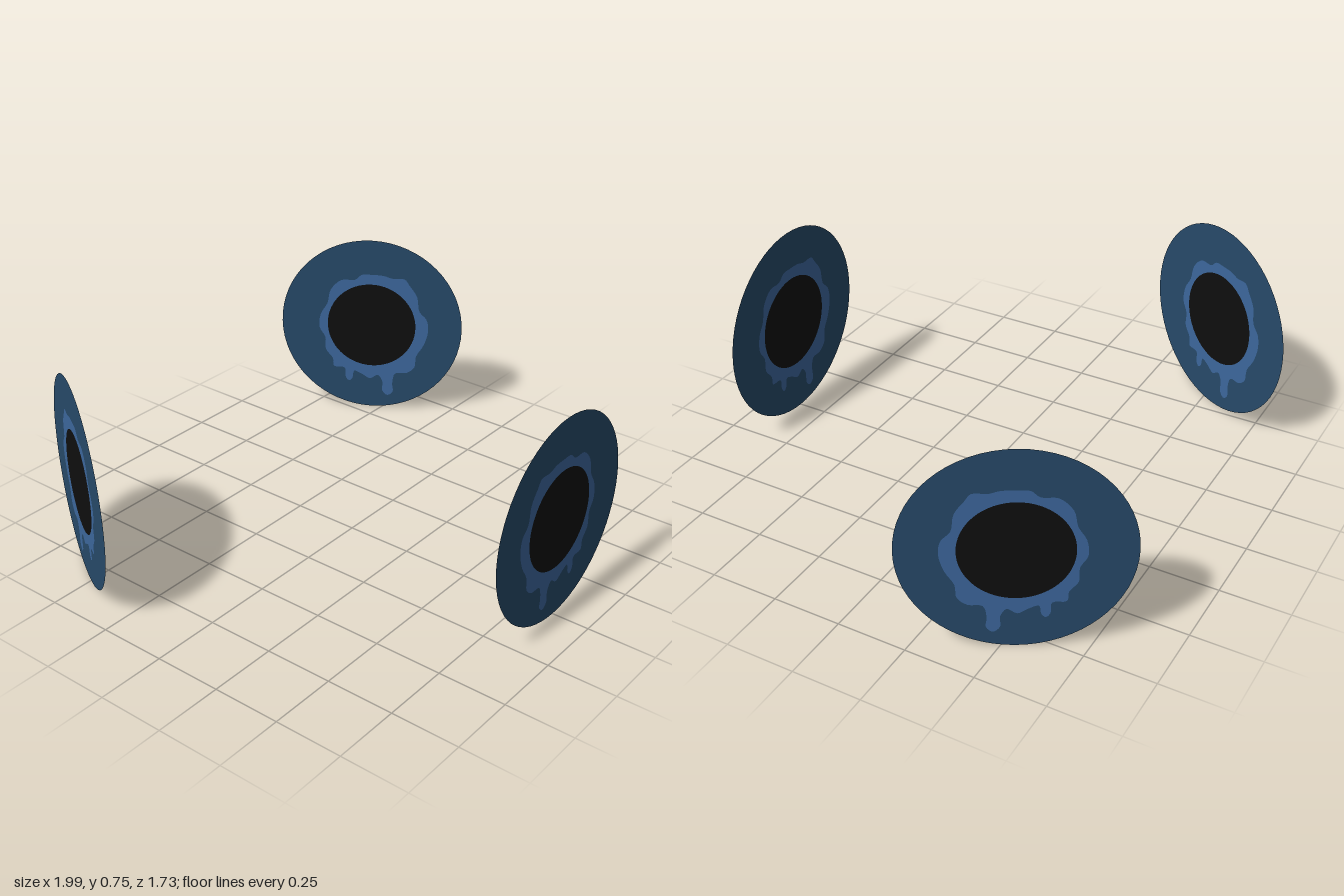
import * as THREE from 'three';

const RADIUS = 0.374;   // disc radius
const PUPIL = 0.183;    // pupil radius
const RING = 0.935;     // distance of each disc from the ring's axis
const RING_Z = -0.073;

// Outline of the dripping iris, in hundredths of a unit from the disc centre
const IRIS = [
  [0, 22.6], [4, 22.4], [7, 20], [12.5, 19.6], [17, 15], [18.4, 9], [21.2, 4], [21.8, -2],
  [19.4, -6.5], [19.2, -12], [16.3, -16], [15.8, -19.6], [11.2, -20.2], [10.8, -24.4],
  [9.4, -26], [8, -24.8], [7.2, -21.4], [4.2, -22.4], [0.5, -24.4], [-2.8, -22.6],
  [-4.8, -25.6], [-4.8, -29.8], [-7, -31.8], [-9.2, -30], [-9, -26], [-10.2, -21.4],
  [-15, -20.8], [-18.2, -18], [-18.8, -13], [-21.9, -7.5], [-23.6, -1], [-22.8, 4],
  [-19.8, 7.5], [-18.7, 14], [-15.5, 18.8], [-13.5, 21.4], [-8.5, 21.4], [-5, 22.4],
];

const circle = (r) => Array.from({ length: 64 }, (_, i) => {
  const a = (i / 64) * Math.PI * 2;
  return new THREE.Vector2(r * Math.cos(a), r * Math.sin(a));
});

// Flat plate with an optional hole
function plate(outline, hole) {
  const shape = new THREE.Shape(outline);
  if (hole) shape.holes.push(new THREE.Path(hole));
  return new THREE.ShapeGeometry(shape);
}

function material(name, color) {
  const m = new THREE.MeshStandardMaterial({ color, side: THREE.DoubleSide });
  m.name = name;
  return m;
}

export function createModel() {
  const model = new THREE.Group();
  model.name = 'eyeDiscRing';

  // Smooth closed iris outline, shared by the disc's hole and the iris
  const loop = new THREE.CatmullRomCurve3(
    IRIS.map(([x, y]) => new THREE.Vector3(x / 100, y / 100, 0)), true);
  const iris = loop.getPoints(152).slice(0, -1).map((p) => new THREE.Vector2(p.x, p.y));
  const pupil = circle(PUPIL);

  // The three colour areas fit together in one plane
  const parts = [
    ['outerDisc', plate(circle(RADIUS), iris), material('dark blue', 0x274a6a)],
    ['drippingIris', plate(iris, pupil), material('mid blue', 0x3d689e)],
    ['pupil', plate(pupil), material('black', 0x0f0f0f)],
  ];

  // Three upright discs facing outwards, a third of a turn apart
  ['frontEye', 'leftEye', 'rightEye'].forEach((name, i) => {
    const a = (i * Math.PI * 2) / 3;
    const eye = new THREE.Group();
    eye.name = name;
    for (const [partName, geometry, mat] of parts) {
      const mesh = new THREE.Mesh(geometry, mat);
      mesh.name = partName;
      eye.add(mesh);
    }
    eye.position.set(RING * Math.sin(a), RADIUS, RING_Z + RING * Math.cos(a));
    eye.rotation.y = a;
    model.add(eye);
  });

  return model;
}
